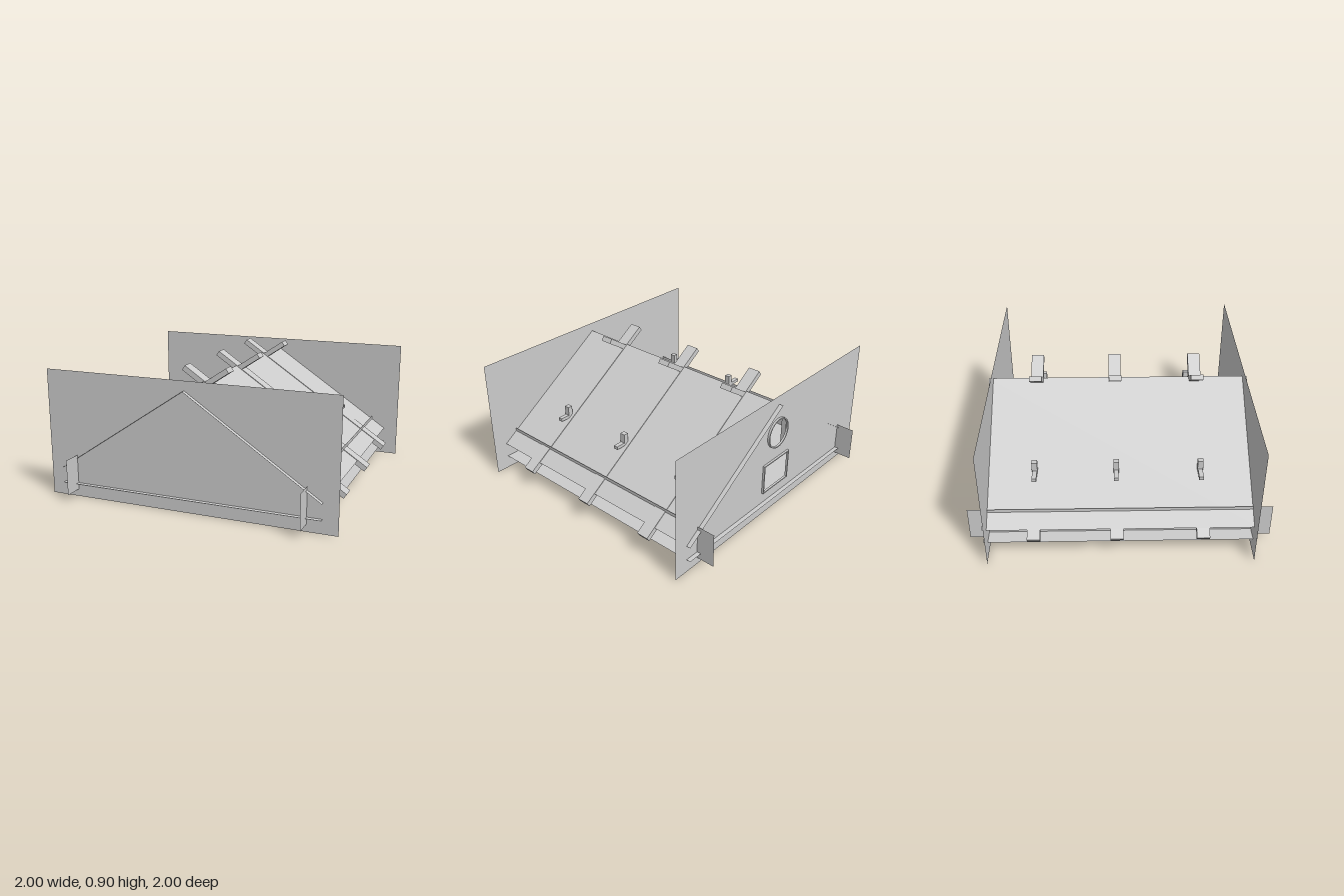
import * as THREE from 'three';

const grey = new THREE.MeshStandardMaterial({ color: 0xcccccc, flatShading: true, side: THREE.DoubleSide });

export function createModel() {
  const model = new THREE.Group();
  const add = (name, geometry, x = 0, y = 0, z = 0) => {
    const mesh = new THREE.Mesh(geometry, grey);
    mesh.name = name;
    mesh.position.set(x, y, z);
    model.add(mesh);
    return mesh;
  };
  const rectPath = (w, h, cx, cy, Type = THREE.Path) => new Type([
    [-1, -1], [1, -1], [1, 1], [-1, 1],
  ].map(([a, b]) => new THREE.Vector2(cx + a * w / 2, cy + b * h / 2)));
  const circlePath = (r, cy, Type = THREE.Path) => new Type().absarc(0, cy, r, 0, Math.PI * 2);

  // Tall end walls; the back one is pierced by a round and a square window
  const wallZ = 0.87, wallH = 0.863;
  add('frontWall', new THREE.PlaneGeometry(2, wallH), 0, wallH / 2, wallZ);
  const backShape = rectPath(2, wallH, 0, wallH / 2, THREE.Shape);
  backShape.holes.push(circlePath(0.1, 0.59), rectPath(0.26, 0.2, 0, 0.285));
  add('backWall', new THREE.ShapeGeometry(backShape, 16), 0, 0, -wallZ);

  // Window frames standing slightly proud of the back wall
  const frame = (name, outer, inner) => {
    outer.holes.push(inner);
    const depth = 0.015;
    add(name, new THREE.ExtrudeGeometry(outer, { depth, bevelEnabled: false, curveSegments: 16 }), 0, 0, -wallZ - depth);
  };
  frame('roundWindowFrame', circlePath(0.108, 0.59, THREE.Shape), circlePath(0.1, 0.59));
  frame('squareWindowFrame', rectPath(0.276, 0.216, 0, 0.285, THREE.Shape), rectPath(0.26, 0.2, 0, 0.285));

  // Floor sheet
  add('floor', new THREE.PlaneGeometry(1.8, 1.8).rotateX(-Math.PI / 2), 0, 0.095, 0);

  // Roof sheets and low side walls, mirrored
  const pitch = Math.atan2(0.6, 0.9), slope = Math.hypot(0.9, 0.6);
  for (const side of [1, -1]) {
    const label = side > 0 ? 'left' : 'right';
    const roof = new THREE.PlaneGeometry(slope, 1.8).rotateX(-Math.PI / 2).rotateZ(-side * pitch);
    add(label + 'Roof', roof, side * 0.45, 0.5, 0);
    const wall = new THREE.PlaneGeometry(2, 0.24).rotateY(side * Math.PI / 2);
    add(label + 'SideWall', wall, side * 0.8, 0.17, 0);
  }

  // Rafter whose upper edge runs from the eave past the ridge
  const thick = 0.036;
  const rafter = (name, side, eaveX, tipX, ridgeY, z) => {
    const length = (eaveX + tipX) / Math.cos(pitch);
    const midX = (eaveX - tipX) / 2;
    const midY = ridgeY - midX * Math.tan(pitch);
    const beam = add(name, new THREE.BoxGeometry(length, thick, 0.085),
      side * (midX - Math.sin(pitch) * thick / 2), midY - Math.cos(pitch) * thick / 2, z);
    beam.rotation.z = -side * pitch;
  };

  // Three trusses: crossing rafters, tie beam and posts
  for (const z of [0.536, -0.024, -0.565]) {
    rafter('leftRafter', 1, 0.97, 0.135, 0.805, z);
    rafter('rightRafter', -1, 0.95, 0.155, 0.792, z);
    add('tieBeam', new THREE.BoxGeometry(1.32, 0.023, 0.03), -0.01, 0.424, z);
    for (const x of [-0.567, 0, 0.567]) {
      const top = x === 0 ? 0.77 : 0.5, bottom = 0.085;
      add(x === 0 ? 'kingPost' : 'sidePost',
        new THREE.BoxGeometry(0.034, top - bottom, 0.037), x, (top + bottom) / 2, z);
    }
  }
  return model;
}
